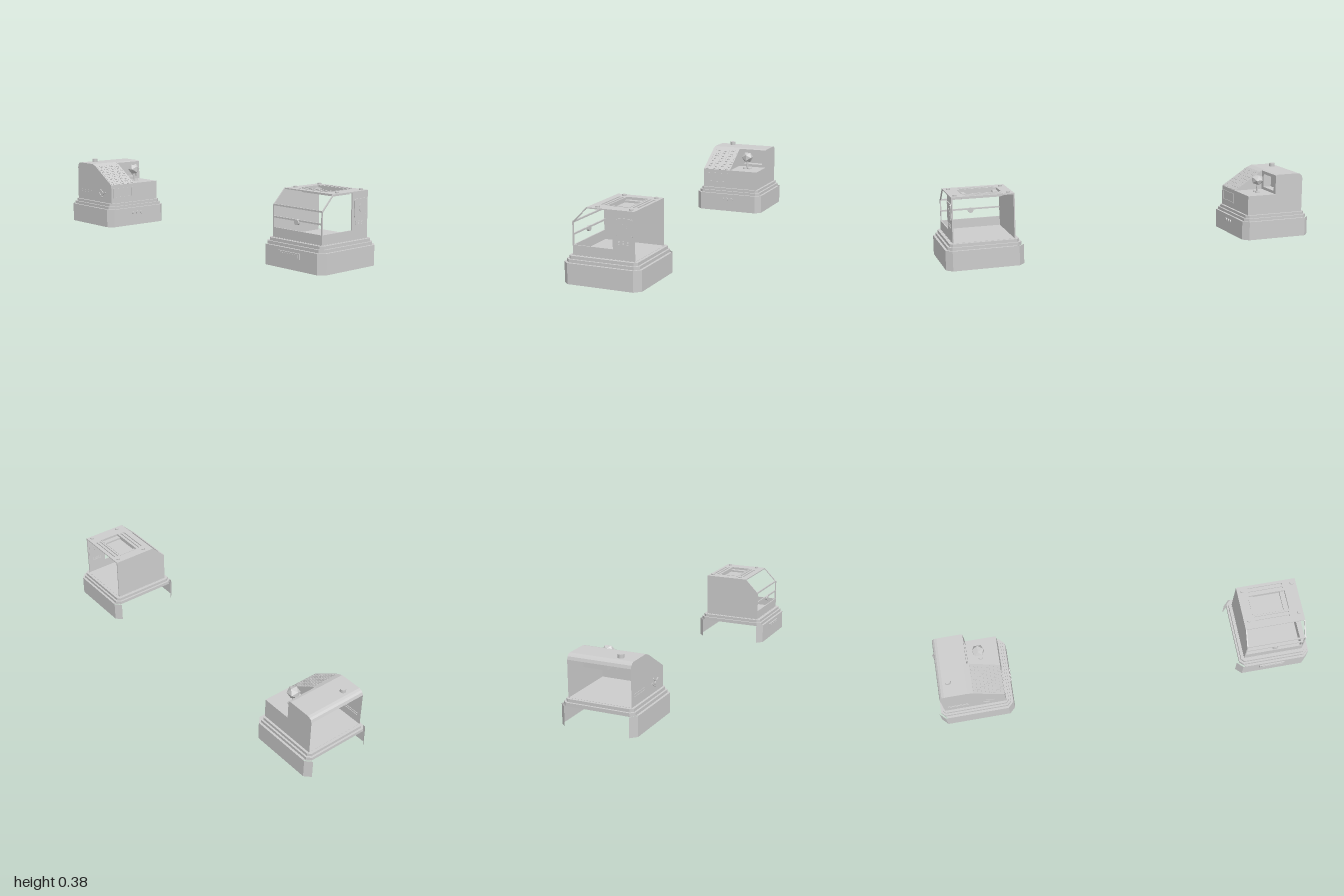
import * as THREE from 'three';

const mat = new THREE.MeshStandardMaterial({ color: 0xcccccc, side: THREE.DoubleSide, flatShading: true });

function add(parent, name, geo, x = 0, y = 0, z = 0) {
  const m = new THREE.Mesh(geo, mat);
  m.name = name;
  m.position.set(x, y, z);
  parent.add(m);
  return m;
}
// box given by its min and max corners
const box = (p, name, x0, x1, y0, y1, z0, z1) =>
  add(p, name, new THREE.BoxGeometry(x1 - x0, y1 - y0, z1 - z0), (x0 + x1) / 2, (y0 + y1) / 2, (z0 + z1) / 2);
const poly = (pts) => pts.map(([a, b]) => new THREE.Vector2(a, b));
function shape(pts, holes = []) {
  const s = new THREE.Shape(poly(pts));
  holes.forEach((h) => s.holes.push(new THREE.Path(poly(h))));
  return s;
}
const rect = (a0, a1, b0, b1) => [[a0, b0], [a1, b0], [a1, b1], [a0, b1]];
const extrude = (s, depth) => new THREE.ExtrudeGeometry(s, { depth, bevelEnabled: false, curveSegments: 8 });
// horizontal plate from an (x, -z) outline, growing upwards
const plate = (s, h) => extrude(s, h).rotateX(-Math.PI / 2);
// upright side panel from a (z, y) outline
const sidePanel = (pts) => new THREE.ShapeGeometry(shape(pts)).rotateY(-Math.PI / 2);
// sheet that follows a (z, y) profile between two x positions
function sheet(pts, x0, x1) {
  const pos = [];
  for (let i = 0; i + 1 < pts.length; i++) {
    const [z0, y0] = pts[i], [z1, y1] = pts[i + 1];
    pos.push(x0, y0, z0, x1, y0, z0, x1, y1, z1, x0, y0, z0, x1, y1, z1, x0, y1, z1);
  }
  const g = new THREE.BufferGeometry();
  g.setAttribute('position', new THREE.Float32BufferAttribute(pos, 3));
  g.computeVertexNormals();
  return g;
}

// chamfered square outline; the rear edge may sit nearer
const octagon = (h, c, back = h) => [
  [-h + c, -h], [h - c, -h], [h, -h + c], [h, back - c], [h - c, back], [-h + c, back], [-h, back - c], [-h, -h + c]];

// plinth: skirt open at the rear and below, two stepped trims, floor
function plinth(parent) {
  const g = new THREE.Group();
  g.name = 'plinth';
  parent.add(g);
  const o = octagon(0.197, 0.03);
  const path = [o[5], o[6], o[7], o[0], o[1], o[2], o[3], o[4]];
  const pos = [];
  for (let i = 0; i + 1 < path.length; i++) {
    const [x0, b0] = path[i], [x1, b1] = path[i + 1];
    pos.push(x0, 0, -b0, x1, 0, -b1, x1, 0.1, -b1, x0, 0, -b0, x1, 0.1, -b1, x0, 0.1, -b0);
  }
  const skirt = new THREE.BufferGeometry();
  skirt.setAttribute('position', new THREE.Float32BufferAttribute(pos, 3));
  skirt.computeVertexNormals();
  add(g, 'skirt', skirt);
  const hole = rect(-0.15, 0.15, -0.15, 0.15);
  add(g, 'ledge', plate(shape(octagon(0.197, 0.03, 0.184), [hole]), 0.003), 0, 0.097, 0);
  add(g, 'lowerTrim', plate(shape(octagon(0.185, 0.02), [hole]), 0.015), 0, 0.1, 0);
  add(g, 'upperTrim', plate(shape(octagon(0.175, 0.015), [hole]), 0.015), 0, 0.115, 0);
  box(g, 'floor', -0.16, 0.16, 0.122, 0.131, -0.16, 0.16);
  return g;
}

// unit with a windowed cabin
function cabinUnit() {
  const g = new THREE.Group();
  g.name = 'cabinUnit';
  const base = plinth(g);
  box(base, 'sideHandle', -0.204, -0.19, 0.055, 0.084, -0.075, 0.06);
  box(base, 'handleGrip', -0.206, -0.2, 0.062, 0.077, -0.065, 0.05);

  const outline = [[-0.157, 0.13], [0.157, 0.13], [0.157, 0.36], [-0.083, 0.36], [-0.157, 0.286]];
  const glass = [[-0.151, 0.178], [0.048, 0.178], [0.048, 0.355], [-0.081, 0.355], [-0.151, 0.284]];
  add(g, 'frontWall', extrude(shape(outline, [glass]), 0.006), 0, 0, 0.152);
  add(g, 'rearWall', extrude(shape(outline), 0.006), 0, 0, -0.158);
  box(g, 'lowSideWall', -0.157, -0.151, 0.13, 0.178, -0.155, 0.155);
  for (const y of [0.228, 0.286]) box(g, 'sideRail', -0.157, -0.15, y - 0.004, y + 0.004, -0.155, 0.155);
  add(g, 'railLatch', new THREE.CylinderGeometry(0.014, 0.014, 0.012, 12).rotateZ(Math.PI / 2), -0.157, 0.22, 0);

  // roof with a sunken tray, vent slots and corner pins
  const slots = [-0.045, -0.025, 0.117, 0.137].map((x) => rect(x - 0.005, x + 0.005, -0.085, 0.1));
  const roof = shape(rect(-0.083, 0.157, -0.157, 0.157), [rect(-0.01, 0.1, -0.091, 0.105), ...slots]);
  add(g, 'roof', plate(roof, 0.006), 0, 0.354, 0);
  for (const [x0, x1] of [[-0.053, -0.012], [0.104, 0.147]]) box(g, 'slotBacking', x0, x1, 0.349, 0.352, -0.105, 0.092);
  const trayRim = shape(rect(-0.012, 0.102, -0.093, 0.107), [rect(-0.008, 0.098, -0.089, 0.103)]);
  add(g, 'trayRim', plate(trayRim, 0.024), 0, 0.338, 0);
  box(g, 'trayFloor', -0.012, 0.102, 0.337, 0.34, -0.107, 0.093);
  for (const z of [-0.092, 0.076]) box(g, 'trayStep', -0.008, 0.098, 0.34, 0.35, z - 0.013, z + 0.013);
  for (const x of [-0.036, 0.132])
    for (const z of [-0.13, 0.136]) add(g, 'roofPin', new THREE.CylinderGeometry(0.01, 0.01, 0.016, 12), x, 0.359, z);

  // front control plate with a head-shaped relief and vents
  const r = 0.01, s = 0.044, p = new THREE.Shape();
  p.absarc(s - r, s - r, r, 0, Math.PI / 2).absarc(r - s, s - r, r, Math.PI / 2, Math.PI);
  p.absarc(r - s, r - s, r, Math.PI, Math.PI * 1.5).absarc(s - r, r - s, r, Math.PI * 1.5, Math.PI * 2);
  add(g, 'controlPlate', extrude(p, 0.012), 0.105, 0.281, 0.15);
  for (const x of [-1, 1])
    for (const y of [-1, 1])
      add(g, 'plateScrew', new THREE.CylinderGeometry(0.003, 0.003, 0.003, 8).rotateX(Math.PI / 2),
        0.105 + x * 0.036, 0.281 + y * 0.036, 0.162);
  const head = shape([[-0.006, -0.021], [0.012, -0.021], [0.012, -0.01], [0.017, 0], [0.015, 0.012], [0.007, 0.019],
    [-0.004, 0.019], [-0.012, 0.012], [-0.013, 0.004], [-0.017, -0.004], [-0.013, -0.006], [-0.012, -0.014], [-0.006, -0.014]]);
  add(g, 'headRelief', extrude(head, 0.016), 0.105, 0.281, 0.148);
  for (let i = 0; i < 3; i++) box(g, 'frontVent', 0.074, 0.13, 0.201 + i * 0.007, 0.205 + i * 0.007, 0.15, 0.161);
  return g;
}

// unit with a stepped console, sloping tiled front and open rear
function consoleUnit() {
  const g = new THREE.Group();
  g.name = 'consoleUnit';
  const base = plinth(g);
  for (let i = -1; i <= 1; i++)
    add(base, 'frontButton', new THREE.CylinderGeometry(0.009, 0.009, 0.014, 12).rotateX(Math.PI / 2), i * 0.027 - 0.005, 0.07, 0.196);

  const w = 0.163, deck = 0.235, top = 0.342;
  const back = [[-0.135, top], [-0.148, 0.338], [-0.157, 0.33], [-0.162, 0.315]];
  const slope = [[w, 0.13], [w, deck], [0.012, 0.332], [-0.015, top]];
  add(g, 'slopingShell', sheet([...slope, ...back], -w, 0));
  add(g, 'roofShell', sheet([[0, 0.338], [-0.015, top], ...back], 0, w));
  add(g, 'deckShell', sheet([[w, 0.13], [w, deck], [0, deck]], 0, w));
  add(g, 'tallSide', sidePanel([...slope, ...back, [-0.162, 0.13]]), -w);
  add(g, 'steppedSide', sidePanel([[w, 0.13], [w, deck], [0, deck], [0, 0.338], [-0.015, top], ...back, [-0.162, 0.13]]), w);
  add(g, 'cheek', sidePanel([[w, deck], [0.012, 0.332], [0, 0.338], [0, deck]]));

  // wall behind the deck with a recessed niche
  const niche = rect(0.022, 0.142, 0.25, 0.322);
  add(g, 'nicheWall', new THREE.ShapeGeometry(shape(rect(0, w, deck, 0.338), [niche])));
  add(g, 'nicheSides', extrude(shape(rect(0.019, 0.145, 0.247, 0.325), [niche]), 0.045), 0, 0, -0.045);
  box(g, 'nicheBack', 0.019, 0.145, 0.247, 0.325, -0.048, -0.045);

  // raised tiles on the slope
  const tilt = Math.atan2(0.097, 0.151), tile = new THREE.BoxGeometry(0.013, 0.003, 0.016);
  for (let i = 0; i < 9; i++)
    for (let j = 0; j < 8; j++) {
      const t = (j + 0.5) / 8;
      add(g, 'slopeTile', tile, -0.15 + i * 0.0172, deck + t * 0.097, w - t * 0.151).rotation.x = tilt;
    }

  // framed plate on the front
  add(g, 'frontPlateFrame', extrude(shape(rect(-0.15, -0.015, 0.16, 0.215), [rect(-0.145, -0.02, 0.165, 0.21)]), 0.004), 0, 0, 0.162);
  // raised marks and vents on the tall side
  for (const [y, z, a] of [[0.19, 0.075, 0.6], [0.17, 0.06, 0.6], [0.18, 0.09, -0.5]]) {
    const m = add(g, 'sideMark', new THREE.BoxGeometry(0.008, 0.008, 0.04), -w, y, z);
    m.rotation.x = a;
  }
  for (const y of [0.172, 0.184]) box(g, 'sideVent', -0.165, -0.16, y, y + 0.004, -0.14, -0.03);

  // control stick with a faceted knob
  add(g, 'stick', new THREE.CylinderGeometry(0.005, 0.006, 0.05, 8), 0.073, 0.26, 0.065);
  for (const x of [-0.013, 0.013]) add(g, 'stickFoot', new THREE.CylinderGeometry(0.012, 0.013, 0.008, 10), 0.073 + x, 0.238, 0.07);
  add(g, 'stickKnob', new THREE.IcosahedronGeometry(0.035, 0).scale(0.95, 0.9, 1), 0.073, 0.303, 0.065);
  add(g, 'roofCap', new THREE.CylinderGeometry(0.015, 0.015, 0.022, 16), -0.084, 0.349, -0.105);
  return g;
}

export function createModel() {
  const model = new THREE.Group();
  model.name = 'twinStations';
  const cabin = cabinUnit();
  cabin.position.set(0.003, 0, 0.803);
  const consoleGroup = consoleUnit();
  consoleGroup.position.set(-0.003, 0.015, -0.803);
  model.add(cabin, consoleGroup);
  return model;
}
